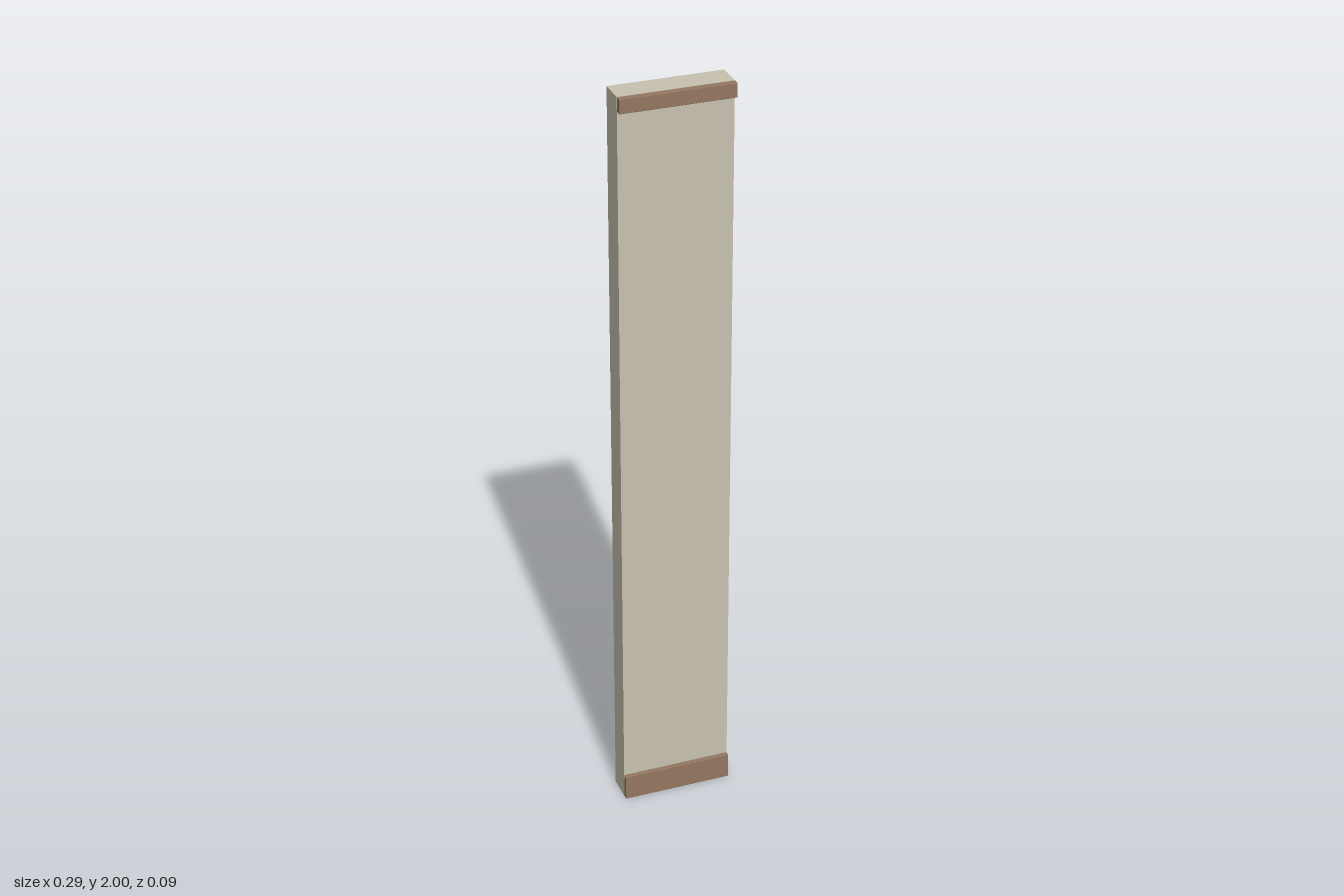
import * as THREE from 'three';
import { RoundedBoxGeometry } from 'three/addons/geometries/RoundedBoxGeometry.js';

const WIDTH = 0.292;
const WALL_BACK = -0.044;
const WALL_FRONT = 0.0265;

export function createModel() {
  const group = new THREE.Group();
  const plaster = new THREE.MeshStandardMaterial({ name: 'plaster', color: 0xc8c2b0 });
  const wood = new THREE.MeshStandardMaterial({ name: 'wood', color: 0x947860 });

  // Plain wall panel
  const wall = new THREE.Mesh(new THREE.BoxGeometry(WIDTH, 2, WALL_FRONT - WALL_BACK), plaster);
  wall.name = 'wallPanel';
  wall.position.set(0, 1, (WALL_FRONT + WALL_BACK) / 2);
  group.add(wall);

  // Wooden strip with softened edges on the front of the wall
  function addTrim(name, bottom, top, front) {
    const depth = front - WALL_FRONT;
    const trim = new THREE.Mesh(new RoundedBoxGeometry(WIDTH, top - bottom, depth, 1, 0.0015), wood);
    trim.name = name;
    trim.position.set(0, (bottom + top) / 2, WALL_FRONT + depth / 2);
    group.add(trim);
  }
  addTrim('skirtingBoard', 0, 0.07, 0.04);
  addTrim('ceilingTrim', 1.963, 2, 0.044);

  return group;
}
